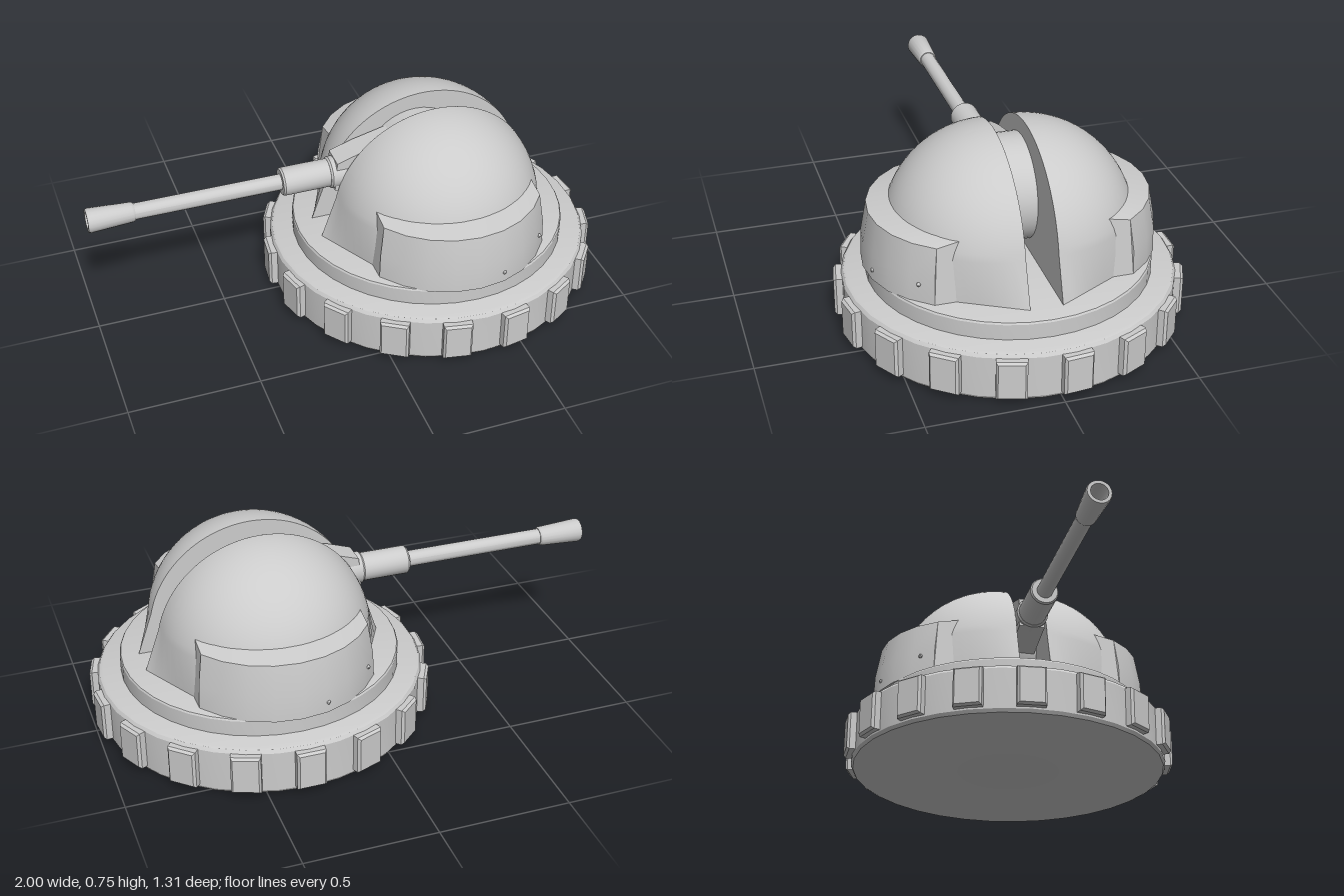
import * as THREE from 'three';
import { toCreasedNormals } from 'three/addons/utils/BufferGeometryUtils.js';

const material = new THREE.MeshStandardMaterial({ color: 0xcccccc });
const doubleSided = new THREE.MeshStandardMaterial({ color: 0xcccccc, side: THREE.DoubleSide });
const v2 = (pts) => pts.map(([x, y]) => new THREE.Vector2(x, y));

function part(name, geometry, mat = material) {
  const mesh = new THREE.Mesh(toCreasedNormals(geometry, 0.5), mat);
  mesh.name = name;
  return mesh;
}

const lathe = (name, profile, sides) => part(name, new THREE.LatheGeometry(v2(profile), sides));

// Half dome: a sphere that flares out at the bottom beside the central slot
const R = 0.41, CENTRE_Y = 0.345, BASE_Y = 0.262, SLOT = 0.06;

function domeShell() {
  const profile = [[R, BASE_Y]];
  for (let i = 0; i <= 20; i++) {
    const a = 0.21 + (Math.PI / 2 - 0.21) * i / 20;
    profile.push([Math.max(R * Math.cos(a), 0), CENTRE_Y + R * Math.sin(a)]);
  }
  const g = new THREE.LatheGeometry(v2(profile), 32, -Math.PI / 2, Math.PI);
  const p = g.attributes.position;
  for (let i = 0; i < p.count; i++) {
    if (p.getY(i) > BASE_Y + 0.01) continue;
    const t = Math.atan2(Math.abs(p.getZ(i)), Math.abs(p.getX(i)));
    const r = t < 0.78 ? 0.46 / (Math.cos(t) + 0.54 * Math.sin(t)) : 0.415;
    p.setX(i, p.getX(i) * r / R);
    p.setZ(i, p.getZ(i) * r / R);
  }
  return g;
}

function slotWall() {
  const s = new THREE.Shape();
  s.moveTo(-0.46, BASE_Y);
  s.lineTo(0.46, BASE_Y);
  s.absarc(0, CENTRE_Y, R, 0.21, Math.PI - 0.21, false);
  return new THREE.ShapeGeometry(s, 40);
}

// Curved armour plate, swept as closed cross-sections around the dome side
function armourPlate() {
  const outer = [[0.398, 0.155, 0.26], [0.394, 0.155, 0.36], [0.374, 0.153, 0.48]];
  const rings = [];
  const N = 8;
  for (let i = 0; i <= N; i++) {
    const a = (i / N * 2 - 1) * 1.0;
    const ring = outer.map(([r, c, y]) => [r * Math.sin(a), y, c + r * Math.cos(a)]);
    const inner = (x, y) => [x, y, 0.06 + Math.sqrt(0.37 ** 2 - x * x)];
    ring.push(inner(ring[2][0], 0.5), inner(ring[0][0], 0.26));
    rings.push(ring);
  }
  const pos = [];
  const tri = (a, b, c) => pos.push(...a, ...b, ...c);
  for (let i = 0; i < N; i++) {
    for (let k = 0; k < 5; k++) {
      const n = (k + 1) % 5;
      const a = rings[i][k], b = rings[i + 1][k], c = rings[i + 1][n], d = rings[i][n];
      tri(a, b, c);
      tri(a, c, d);
    }
  }
  const first = rings[0], last = rings[N];
  for (let k = 1; k < 4; k++) {
    tri(first[0], first[k], first[k + 1]);
    tri(last[0], last[k + 1], last[k]);
  }
  const g = new THREE.BufferGeometry();
  g.setAttribute('position', new THREE.Float32BufferAttribute(pos, 3));
  return g;
}

function domeHalf(name) {
  const half = new THREE.Group();
  half.name = name;
  const shell = part('domeShell', domeShell());
  const wall = part('slotWall', slotWall(), doubleSided);
  shell.position.z = wall.position.z = SLOT;
  half.add(shell, wall, part('armourPlate', armourPlate()));
  // small bolts near one end of the plate
  for (const [x, y, z] of [[0.295, 0.335, 0.417], [0.1, 0.3, 0.538]]) {
    const bolt = part('bolt', new THREE.SphereGeometry(0.008, 10, 8));
    bolt.position.set(x, y, z);
    half.add(bolt);
  }
  return half;
}

// Grip block with a bevelled outer face
function gripBlock() {
  const s = new THREE.Shape(v2([[-0.055, 0.025], [0.055, 0.025], [0.055, 0.178], [-0.055, 0.178]]));
  return new THREE.ExtrudeGeometry(s, {
    depth: 0.05, bevelEnabled: true, bevelThickness: 0.01, bevelSize: 0.008, bevelOffset: -0.008, bevelSegments: 1,
  });
}

export function createModel() {
  const model = new THREE.Group();
  model.name = 'gunTurret';
  const turret = new THREE.Group();
  turret.name = 'turret';
  turret.position.set(0.345, 0, 0.007);
  model.add(turret);

  // Base and deck
  turret.add(lathe('baseRing', [[0, 0], [0.605, 0], [0.617, 0.005], [0.625, 0.018],
    [0.625, 0.178], [0.617, 0.19], [0.605, 0.195], [0, 0.195]], 34));
  turret.add(lathe('deck', [[0.535, 0.19], [0.535, 0.255], [0.531, 0.262], [0.522, 0.265], [0, 0.265]], 40));

  // Grip blocks around the base
  const grip = gripBlock();
  for (let i = 0; i < 17; i++) {
    const block = part('gripBlock', grip);
    const a = Math.PI + i * Math.PI * 2 / 17;
    block.position.set(Math.sin(a) * 0.594, 0, Math.cos(a) * 0.594);
    block.rotation.y = a;
    turret.add(block);
  }

  // Two dome halves either side of the slot
  const left = domeHalf('frontDome');
  const right = domeHalf('rearDome');
  right.rotation.y = Math.PI;
  turret.add(left, right);

  // Elevating rotor inside the slot
  const rotor = part('rotor', new THREE.CylinderGeometry(0.202, 0.202, 0.119, 40));
  rotor.rotation.x = Math.PI / 2;
  rotor.position.set(-0.035, 0.488, 0);
  turret.add(rotor);

  // Sloped bracket joining rotor and gun
  const bracketShape = new THREE.Shape(v2([[-0.4, 0.46], [-0.2, 0.42], [-0.1, 0.66], [-0.3, 0.61], [-0.39, 0.58]]));
  const bracket = part('gunBracket', new THREE.ExtrudeGeometry(bracketShape, { depth: 0.1, bevelEnabled: false }));
  bracket.position.z = -0.05;
  turret.add(bracket);

  // Gun, built along its length from rotor to muzzle
  const gun = new THREE.Group();
  gun.name = 'gun';
  gun.rotation.z = Math.PI / 2;
  gun.position.y = 0.515;
  gun.add(
    lathe('collar', [[0.062, 0.2], [0.062, 0.408], [0.056, 0.415], [0, 0.415]], 24),
    lathe('sleeve', [[0.055, 0.4], [0.055, 0.595], [0.05, 0.602], [0, 0.602]], 24),
    lathe('barrel', [[0.031, 0.59], [0.031, 1.18]], 20),
    lathe('muzzle', [[0, 1.167], [0.034, 1.167], [0.038, 1.175], [0.047, 1.335], [0.044, 1.345],
      [0.032, 1.345], [0.03, 1.24], [0, 1.24]], 20),
  );
  turret.add(gun);
  return model;
}
